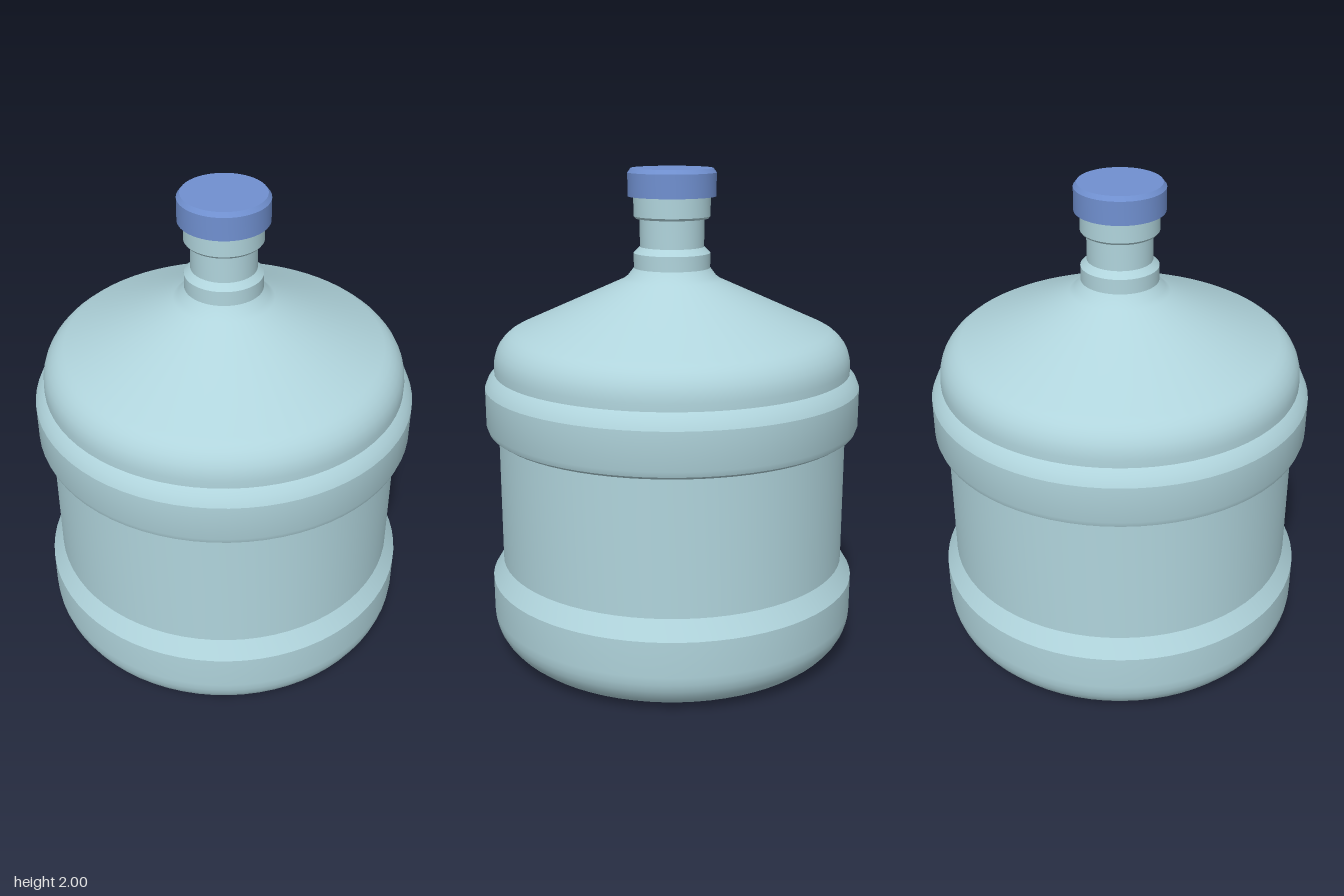
import * as THREE from 'three';
import { toCreasedNormals } from 'three/addons/utils/BufferGeometryUtils.js';

const SEGMENTS = 72;

// Points on a rounded corner with radii rx, ry between two angles in degrees
function arc(cx, cy, rx, ry, from, to, steps) {
  const points = [];
  for (let i = 0; i <= steps; i++) {
    const a = THREE.MathUtils.degToRad(from + ((to - from) * i) / steps);
    points.push([cx + rx * Math.cos(a), cy + ry * Math.sin(a)]);
  }
  return points;
}

// Turned part from a [radius, height] profile, listed from bottom to top
function turned(name, profile, material) {
  const points = profile.map(([r, y]) => new THREE.Vector2(r, y));
  const geometry = toCreasedNormals(new THREE.LatheGeometry(points, SEGMENTS), 0.4);
  const mesh = new THREE.Mesh(geometry, material);
  mesh.name = name;
  return mesh;
}

export function createModel() {
  const plastic = new THREE.MeshStandardMaterial({ color: 0xb0d4dc });
  plastic.name = 'pale blue plastic';
  const capBlue = new THREE.MeshStandardMaterial({ color: 0x7090d0 });
  capBlue.name = 'cap blue';

  const model = new THREE.Group();
  model.name = 'waterBottle';

  // Base with a recessed underside and a rounded lower edge
  model.add(turned('base', [
    [0, 0.06], [0.39, 0.06], [0.48, 0],
    ...arc(0.595, 0.17, 0.17, 0.17, -90, 0, 8),
    [0.765, 0.315], [0.72, 0.39],
  ], plastic));

  // Straight wall
  model.add(turned('wall', [[0.72, 0.39], [0.72, 0.945]], plastic));

  // Raised band with chamfered top
  model.add(turned('band', [
    [0.72, 0.945], [0.745, 0.945], [0.762, 0.957], [0.77, 0.98],
    [0.77, 1.13], [0.755, 1.165], [0.73, 1.19],
  ], plastic));

  // Rounded shoulder rising in a cone to the neck
  model.add(turned('shoulder', [
    [0.73, 1.19],
    ...arc(0.58, 1.22, 0.15, 0.15, 0, 66, 6),
    [0.2, 1.557], [0.18, 1.572], [0.155, 1.605],
  ], plastic));

  // Neck with a collar below and a lip under the cap
  model.add(turned('neck', [
    [0.155, 1.605], [0.155, 1.665], [0.13, 1.69], [0.13, 1.803],
    [0.148, 1.803], [0.155, 1.812], [0.155, 1.89],
  ], plastic));

  // Cap with a bevelled top edge
  model.add(turned('cap', [
    [0, 1.89], [0.178, 1.89], [0.178, 1.983], [0.165, 2], [0, 2],
  ], capBlue));

  return model;
}
